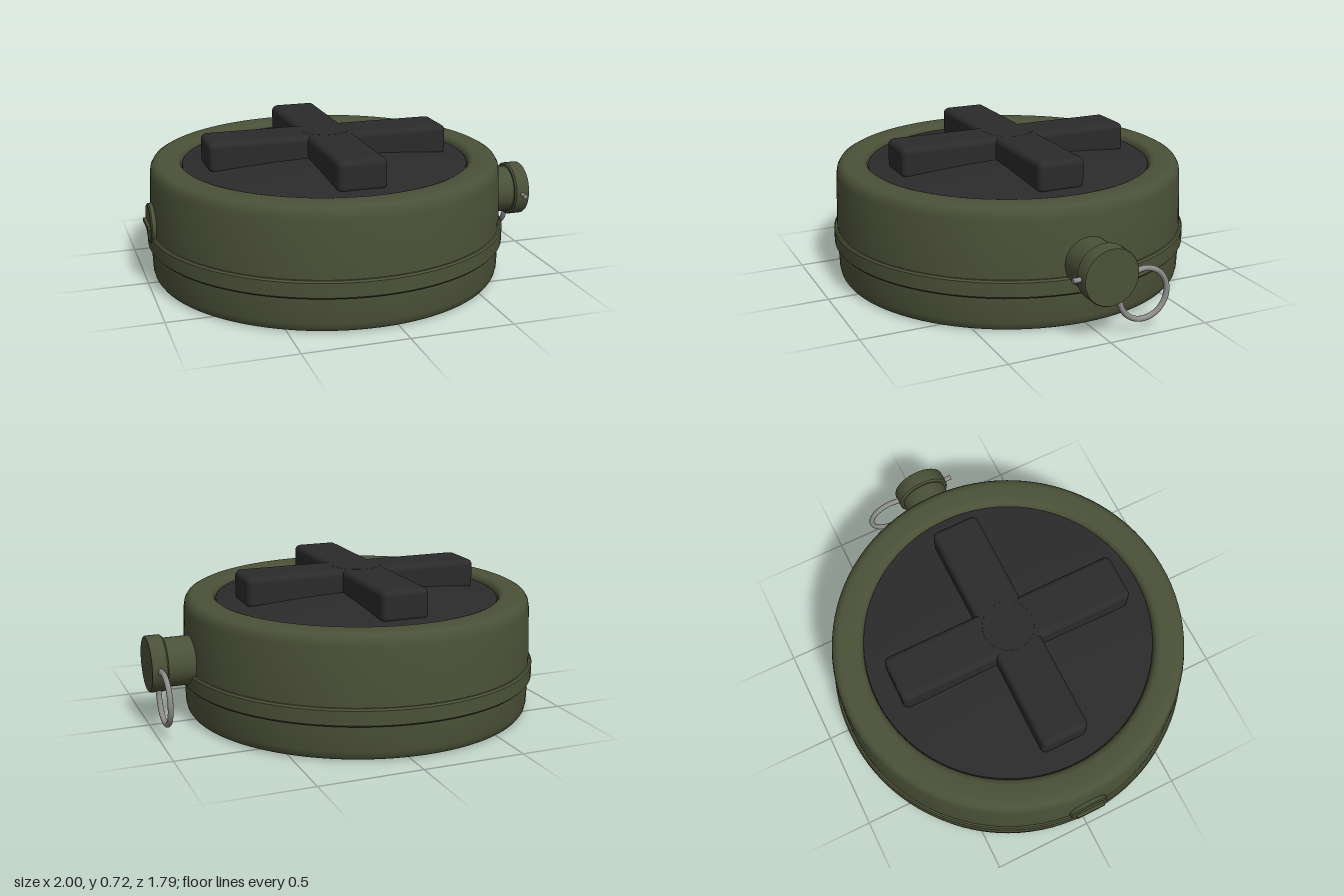
import * as THREE from 'three';
import { RoundedBoxGeometry } from 'three/addons/geometries/RoundedBoxGeometry.js';
import { toCreasedNormals } from 'three/addons/utils/BufferGeometryUtils.js';

const CX = -0.087; // axis of the round body
const FY = 0.31;   // height of the side fittings

export function createModel() {
  const group = new THREE.Group();
  const mat = (name, color) => {
    const m = new THREE.MeshStandardMaterial({ color });
    m.name = name;
    return m;
  };
  const olive = mat('olive', 0x4b5138);
  const black = mat('black rubber', 0x2b2b2c);
  const steel = mat('steel', 0x8c8c8a);

  const add = (name, geometry, material, x = CX, y = 0, z = 0) => {
    const mesh = new THREE.Mesh(geometry, material);
    mesh.name = name;
    mesh.position.set(x, y, z);
    group.add(mesh);
    return mesh;
  };
  // Turned part from [radius, height] pairs, listed from bottom to top
  const turned = (points, segments = 64) => toCreasedNormals(
    new THREE.LatheGeometry(points.map(([r, y]) => new THREE.Vector2(r, y)), segments), 0.6);
  // Turned part laid along +x
  const sideways = (points) => turned(points, 40).rotateZ(-Math.PI / 2);

  // Body with rounded edges and a shallow recess in the top
  add('body', turned([
    [0, 0], [0.845, 0], [0.86, 0.006], [0.87, 0.02], [0.876, 0.045],
    [0.88, 0.17], [0.88, 0.3], [0.87, 0.53], [0.865, 0.558], [0.853, 0.578], [0.835, 0.588],
    [0.815, 0.59], [0.745, 0.59], [0.728, 0.585], [0.717, 0.574], [0.712, 0.555], [0.712, 0.53], [0, 0.53],
  ], 96), olive);

  // Seam band round the body
  add('seamBand', turned([
    [0.87, 0.17], [0.889, 0.17], [0.896, 0.178], [0.896, 0.247], [0.889, 0.256], [0.87, 0.256],
  ], 96), olive);

  // Slightly domed pressure plate
  add('pressurePlate', turned([
    [0.712, 0.53], [0.71, 0.562], [0.6, 0.576], [0.45, 0.59], [0.3, 0.6], [0.15, 0.606], [0, 0.608],
  ], 96), black);

  // Raised cross on the plate
  add('crossBarX', new RoundedBoxGeometry(1.215, 0.155, 0.24, 4, 0.03), black, CX, 0.638);
  add('crossBarZ', new RoundedBoxGeometry(0.24, 0.155, 1.215, 4, 0.03), black, CX, 0.638);
  add('crossCentre', turned([[0.13, 0.71], [0.125, 0.716], [0.06, 0.719], [0, 0.72]], 40), black);

  // Fuse neck and cap on the left side
  add('fuseNeck', sideways([[0, 0.7], [0.12, 0.7], [0.12, 0.93], [0, 0.93]]), olive, 0, FY);
  add('fuseCap', sideways([
    [0, 0.92], [0.13, 0.92], [0.138, 0.928], [0.138, 0.994], [0.134, 1], [0, 1],
  ]), olive, 0, FY);

  // Safety pin through the cap, with its pull ring
  add('safetyPin', new THREE.CylinderGeometry(0.012, 0.012, 0.36, 16).rotateX(Math.PI / 2),
    steel, 0.96, FY, -0.005);
  add('pullRing', new THREE.TorusGeometry(0.122, 0.0135, 12, 48).rotateY(Math.PI / 2),
    steel, 0.96, 0.188, -0.185);

  // Plug on the opposite side, with a grip ridge
  add('plug', sideways([[0, -0.985], [0.094, -0.985], [0.1, -0.979], [0.1, -0.9], [0, -0.9]]),
    olive, 0, FY);
  add('plugRidge', new THREE.BoxGeometry(0.03, 0.018, 0.15), olive, -0.985, FY - 0.002);

  return group;
}
